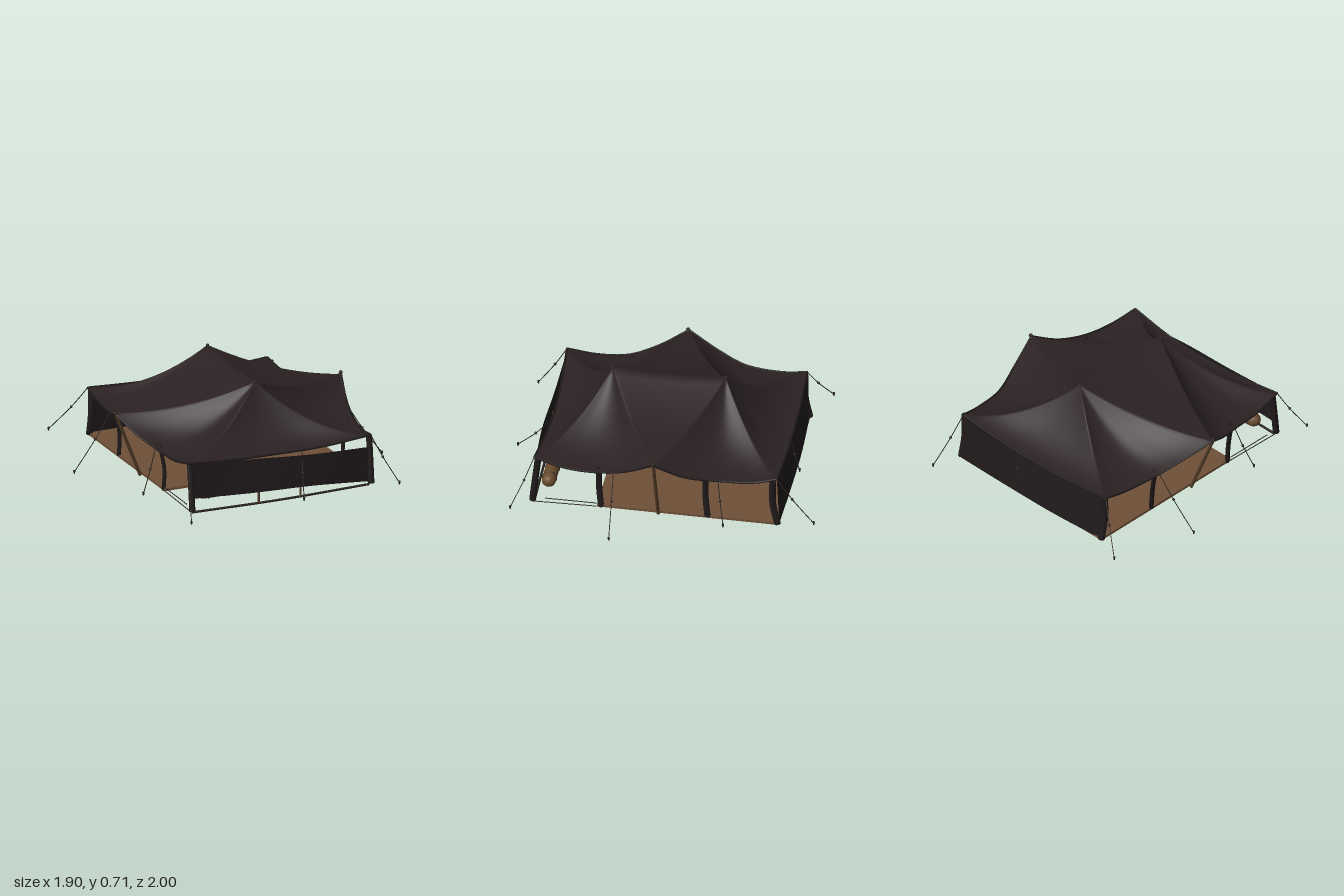
import * as THREE from 'three';
import { mergeGeometries, mergeVertices } from 'three/addons/utils/BufferGeometryUtils.js';

const V = (p) => new THREE.Vector3(...p);
const paint = (name, color, side = THREE.FrontSide) => {
  const m = new THREE.MeshStandardMaterial({ color, side });
  m.name = name;
  return m;
};

export function createModel() {
  const cloth = paint('roofCloth', 0x2b2123, THREE.DoubleSide);
  const dark = paint('wallCloth', 0x201a1b, THREE.DoubleSide);
  const wood = paint('wood', 0x533c27);
  const mat = paint('floorMat', 0x6f5037);
  const rope = paint('rope', 0x2a2522);
  const hide = paint('bundleHide', 0x6a4b2e);
  const tent = new THREE.Group();
  tent.name = 'tent';

  const add = (geo, material, name, pos = [0, 0, 0]) => {
    const mesh = new THREE.Mesh(geo, material);
    mesh.name = name;
    mesh.position.set(...pos);
    tent.add(mesh);
    return mesh;
  };
  const spline = (pts) => new THREE.CatmullRomCurve3(pts.map(V));
  const along = (pts) => {
    const c = spline(pts);
    return (u) => c.getPoint(u);
  };
  const fixed = (p) => () => V(p);
  const cord = (pts, r, material, name, sides = 6) =>
    add(new THREE.TubeGeometry(spline(pts), 20, r, sides), material, name);
  const knot = (p, r, name) => add(new THREE.SphereGeometry(r, 8, 6), rope, name, p);

  // Cloth stretched between curves a and b, with the height falling off by a power
  const stretch = (a, b, power, nu = 32, nt = 16) => {
    const pos = [], idx = [];
    for (let i = 0; i <= nu; i++) for (let j = 0; j <= nt; j++) {
      const u = i / nu, t = j / nt, A = a(u), B = b(u);
      const p = A.clone().lerp(B, t);
      p.y = B.y + (A.y - B.y) * Math.pow(1 - t, power);
      pos.push(p.x, p.y, p.z);
      if (i < nu && j < nt) {
        const k = i * (nt + 1) + j, n = k + nt + 1;
        idx.push(k, k + 1, n, n, k + 1, n + 1);
      }
    }
    const g = new THREE.BufferGeometry();
    g.setAttribute('position', new THREE.Float32BufferAttribute(pos, 3));
    g.setIndex(idx);
    return g;
  };

  // Roof edges in order round the tent, starting at the front
  const tipL = [0.77, 0.5, 0.01], tipR = [-0.81, 0.49, 0.04];
  const fl = [0.62, 0.38, 0.79], fr = [-0.64, 0.38, 0.79];
  const bl = [0.61, 0.375, -0.76], br = [-0.64, 0.37, -0.745];
  const edges = {
    front: [fr, [-0.3, 0.35, 0.77], [0, 0.34, 0.76], [0.3, 0.345, 0.77], fl],
    leftFront: [fl, [0.65, 0.345, 0.6], [0.68, 0.35, 0.4], [0.72, 0.4, 0.2], tipL],
    leftBack: [tipL, [0.72, 0.4, -0.19], [0.65, 0.35, -0.4], [0.63, 0.345, -0.6], bl],
    back: [bl, [0.2, 0.345, -0.765], [-0.25, 0.345, -0.76], br],
    rightBack: [br, [-0.65, 0.345, -0.6], [-0.68, 0.35, -0.35], [-0.73, 0.4, -0.18], tipR],
    rightFront: [tipR, [-0.74, 0.4, 0.22], [-0.68, 0.35, 0.4], [-0.66, 0.345, 0.6], fr],
  };
  for (const [name, pts] of Object.entries(edges)) cord(pts, 0.007, dark, name + 'Hem');

  // Roof: fans from the two peaks to the edges, and webs from the ridge to the side points
  const peakF = [0, 0.695, 0.39], peakB = [0, 0.7, -0.33];
  const ridge = [peakF, [0, 0.683, 0.2], [0, 0.68, 0.03], [0, 0.683, -0.15], peakB];
  const fans = Object.entries(edges).map(([name, pts]) =>
    stretch(fixed(/front/i.test(name) ? peakF : peakB), along(pts), 2));
  const webs = [
    stretch(along(ridge), fixed(tipL), 2),
    stretch(along([...ridge].reverse()), fixed(tipR), 2),
  ];
  const roof = mergeVertices(mergeGeometries([...fans, ...webs]), 1e-4);
  roof.computeVertexNormals();
  add(roof, cloth, 'roof');
  for (const p of [peakF, peakB]) knot(p, 0.01, 'peakKnot');

  // Full back wall, and a front wall hung clear of the ground
  const wall = (top, bottom, name) => {
    const g = stretch(along(top), along(bottom), 1);
    g.computeVertexNormals();
    add(g, dark, name);
  };
  wall(edges.back, [[0.61, 0.045, -0.775], [0.2, 0.045, -0.782], [-0.2, 0.045, -0.782], [-0.62, 0.05, -0.765]], 'backWall');
  wall([[-0.63, 0.375, 0.788], [-0.2, 0.345, 0.795], [0.2, 0.32, 0.81], [0.61, 0.3, 0.79]],
    [[-0.61, 0.14, 0.79], [-0.2, 0.125, 0.815], [0.2, 0.11, 0.815], [0.61, 0.07, 0.79]], 'frontWall');

  // Ground mat, sloping slightly to the back
  add(new THREE.BoxGeometry(1.25, 0.016, 1.155), mat, 'floorMat', [0, 0.057, -0.19]).rotation.x = -0.012;

  // Gathered curtains at the corners and flatter ones along the sides
  for (const s of [1, -1]) {
    const x = s * 0.62;
    cord([[x, 0.06, 0.8], [x, 0.2, 0.785], [x, 0.37, 0.765]], 0.021, dark, 'frontCornerCurtain', 8);
    cord([[x, 0.05, -0.765], [x, 0.2, -0.735], [x, 0.36, -0.735]], 0.022, dark, 'backCornerCurtain', 8);
    for (const z of [0.37, -0.31]) {
      const c = cord([[0, 0.055, z - 0.008], [0, 0.2, z + 0.004], [0.06 * s, 0.36, z]], 0.02, dark, 'sideCurtain', 8);
      c.scale.x = 0.5;
      c.position.x = x;
    }
    cord([[x, 0.08, 0.72], [x, 0.078, 0.39]], 0.003, rope, 'sideCord');
    cord([[x, 0.05, 0.79], [x, 0.055, 0.39]], 0.003, rope, 'groundCord');
  }

  // Leaning pole under each side point
  const poles = [
    [[0.63, 0.05, -0.005], [0.77, 0.51, 0.005]],
    [[-0.63, 0.045, 0.03], [-0.81, 0.495, 0.045]],
  ];
  for (const [foot, head] of poles) {
    cord([foot, head], 0.011, wood, 'sidePole', 8);
    knot(head, 0.013, 'poleLashing');
  }

  // Front ground bar with short posts
  cord([[-0.62, 0.05, 0.79], [0, 0.045, 0.8], [0.61, 0.05, 0.79]], 0.008, rope, 'frontBar');
  for (const x of [-0.16, 0.13]) cord([[x, 0.045, 0.8], [x, 0.22, 0.8]], 0.007, wood, 'frontPost');

  // Rolled bundles with flattened undersides behind the front wall, each with two straps
  const flatten = (geo, floor) => {
    const p = geo.attributes.position;
    for (let i = 0; i < p.count; i++) p.setY(i, Math.max(p.getY(i), floor));
    geo.computeVertexNormals();
    return geo;
  };
  for (const x of [-0.42, -0.14, 0.14, 0.42]) {
    const roll = new THREE.CapsuleGeometry(0.045, 0.17, 6, 16).rotateZ(Math.PI / 2);
    add(flatten(roll, -0.034), hide, 'bundle', [x, 0.143, 0.715]);
    for (const d of [-0.06, 0.06]) {
      const strap = new THREE.TorusGeometry(0.044, 0.004, 6, 20).rotateY(Math.PI / 2);
      add(flatten(strap, -0.037), rope, 'bundleStrap', [x + d, 0.143, 0.715]);
    }
  }

  // Guy ropes: roof end, ground end
  const guys = [
    [br, [-0.85, 0.08, -0.88]],
    [bl, [0.64, 0.09, -1.0]],
    [[0.65, 0.35, -0.39], [0.76, 0.09, -0.44]],
    [[-0.68, 0.36, -0.31], [-0.95, 0.012, -0.27]],
    [[0.7, 0.38, 0.27], [0.94, 0.03, 0.26]],
    [[-0.68, 0.35, 0.37], [-0.79, 0.08, 0.43]],
    [fr, [-0.71, 0.06, 0.985]],
    [fl, [0.76, 0.08, 0.92]],
    [[0.15, 0.34, 0.775], [0.07, 0.1, 0.985]],
    [[0.1, 0.34, -0.765], [0.1, 0.12, -0.82]],
  ];
  for (const [a, b] of guys) {
    const mid = V(a).lerp(V(b), 0.42);
    mid.y -= 0.012;
    cord([a, mid.toArray(), b], 0.003, rope, 'guyRope', 5);
    knot(mid.toArray(), 0.009, 'guyKnot');
    add(new THREE.CylinderGeometry(0.008, 0.004, 0.022, 6), rope, 'peg', b);
  }
  return tent;
}
